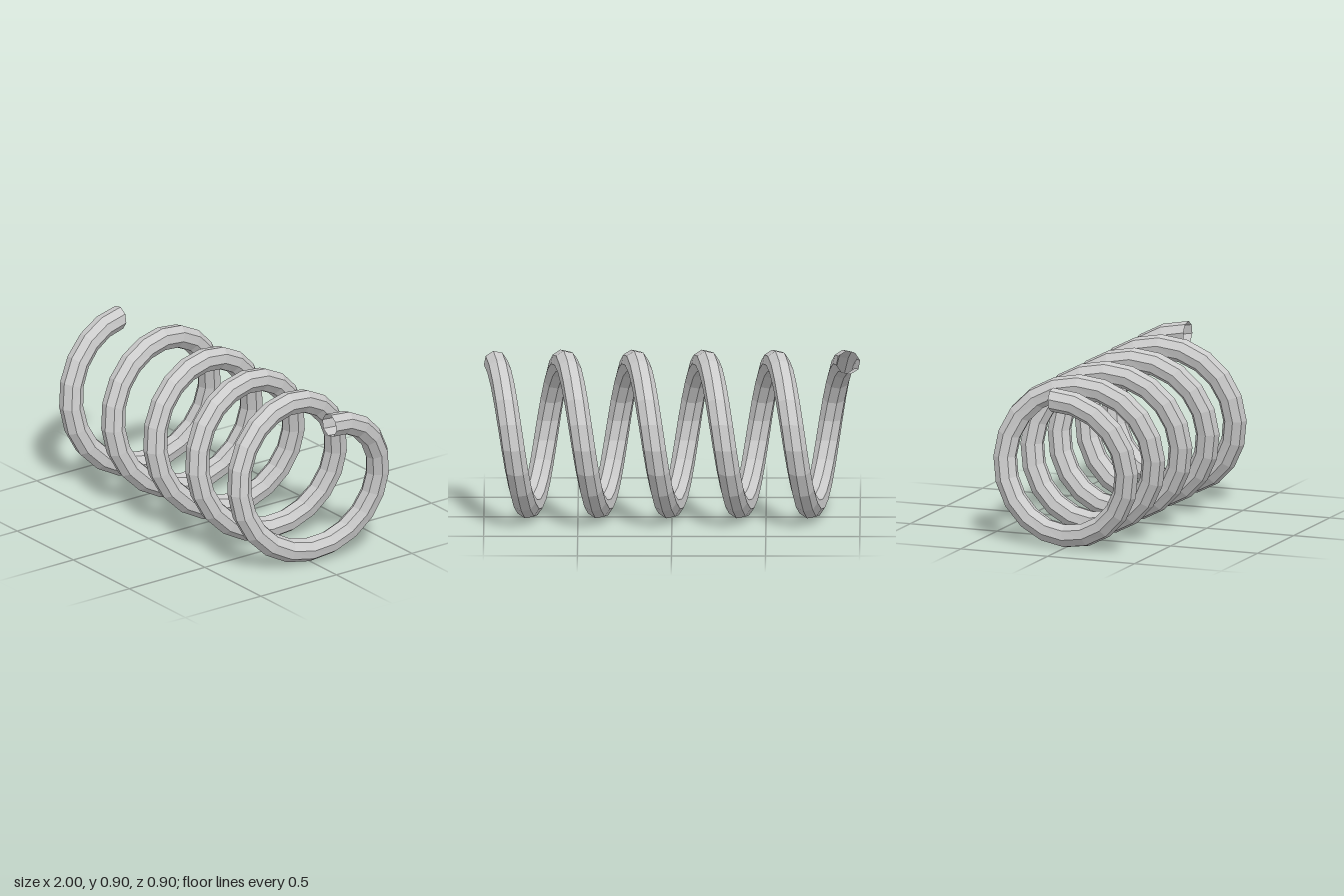
import * as THREE from 'three';

const TURNS = 5;
const STEPS_PER_TURN = 20;
const SIDES = 8;
const COIL_RADIUS = 0.388;
const WIRE_RADIUS = 0.064;
const CENTRE_Y = 0.451;
const PITCH = 0.375;
const WIRE_TURN = Math.PI / 16; // slight roll of the octagonal wire section

// Winds a straight open tube into a helix along x, starting at the top and going to the front
function coilGeometry() {
  const tube = new THREE.CylinderGeometry(1, 1, 1, SIDES, TURNS * STEPS_PER_TURN, true);
  const pos = tube.attributes.position;
  for (let i = 0; i < pos.count; i++) {
    const along = 0.5 - pos.getY(i);
    const section = Math.atan2(pos.getX(i), pos.getZ(i)) + WIRE_TURN;
    const turn = along * TURNS * Math.PI * 2;
    const radius = COIL_RADIUS + WIRE_RADIUS * Math.cos(section);
    pos.setXYZ(
      i,
      (along - 0.5) * TURNS * PITCH + WIRE_RADIUS * Math.sin(section),
      CENTRE_Y + radius * Math.cos(turn),
      radius * Math.sin(turn)
    );
  }
  const geometry = tube.toNonIndexed();
  geometry.computeVertexNormals();
  return geometry;
}

export function createModel() {
  const group = new THREE.Group();
  group.name = 'coilSpring';

  // Open-ended faceted wire
  const material = new THREE.MeshStandardMaterial({
    color: 0xcccccc,
    flatShading: true,
    side: THREE.DoubleSide,
  });
  const coil = new THREE.Mesh(coilGeometry(), material);
  coil.name = 'springCoil';
  group.add(coil);

  return group;
}
